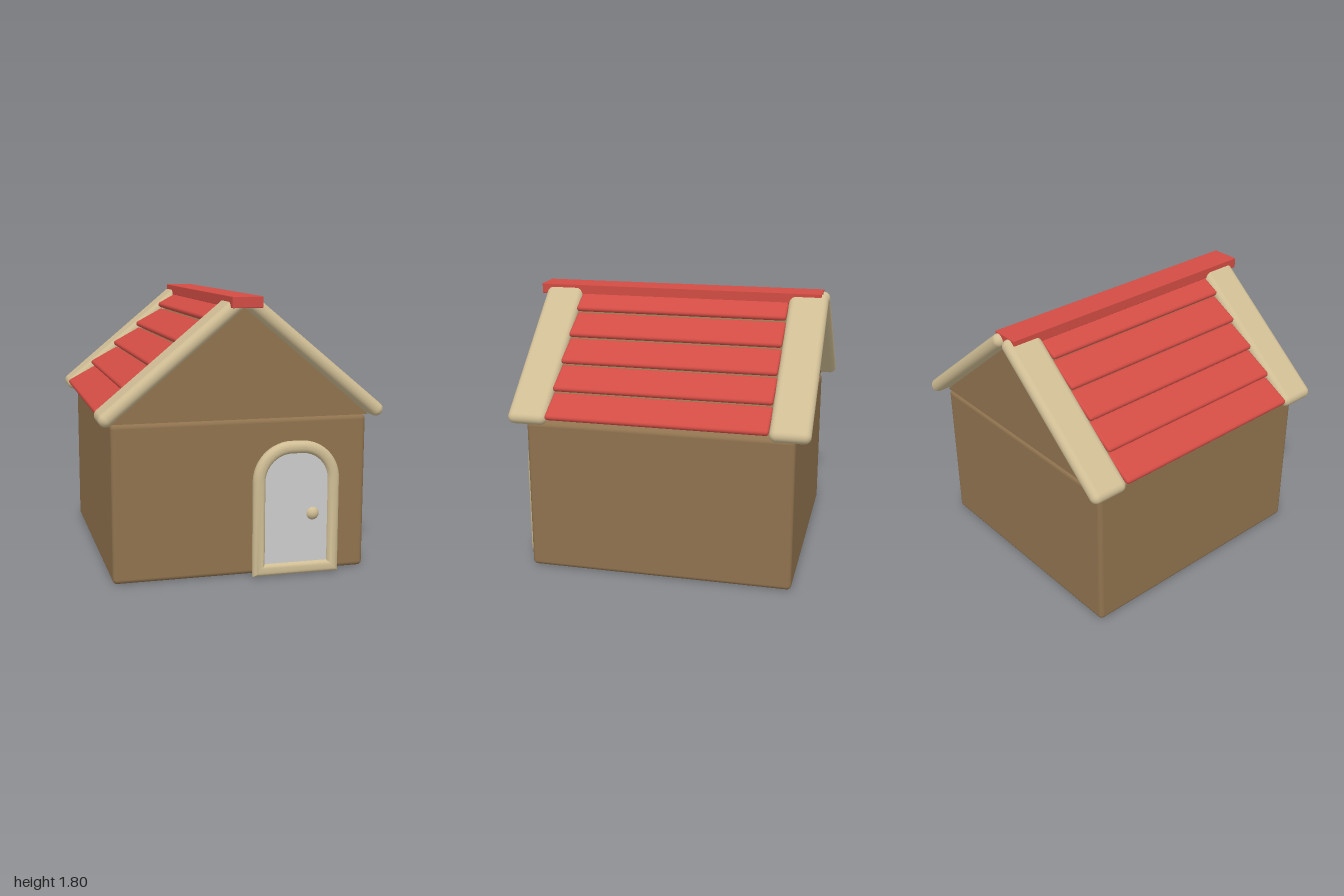
import * as THREE from 'three';
import { RoundedBoxGeometry } from 'three/addons/geometries/RoundedBoxGeometry.js';
import { toCreasedNormals } from 'three/addons/utils/BufferGeometryUtils.js';

const paint = (color) => new THREE.MeshStandardMaterial({ color });
const brown = paint(0x8f724e);
const tan = paint(0xcfbd94);
const red = paint(0xd14c44);
const grey = paint(0xcccccc);

// Outline with square foot corners and a rounded top
function archPath(PathType, cx, half, bottom, top, r) {
  const p = new PathType();
  p.moveTo(cx - half, bottom);
  p.lineTo(cx + half, bottom);
  p.lineTo(cx + half, top - r);
  p.absarc(cx + half - r, top - r, r, 0, Math.PI / 2, false);
  p.lineTo(cx - half + r, top);
  p.absarc(cx - half + r, top - r, r, Math.PI / 2, Math.PI, false);
  p.closePath();
  return p;
}

export function createModel() {
  const model = new THREE.Group();

  function add(name, geometry, material, x = 0, y = 0, z = 0, parent = model) {
    const mesh = new THREE.Mesh(geometry, material);
    mesh.name = name;
    mesh.position.set(x, y, z);
    parent.add(mesh);
    return mesh;
  }

  // Walls
  add('walls', new RoundedBoxGeometry(1.67, 1.02, 1.76, 4, 0.03), brown, 0, 0.52, -0.015);

  // Solid gable under the roof
  const triangle = new THREE.Shape();
  triangle.moveTo(-0.85, 1.03);
  triangle.lineTo(0.85, 1.03);
  triangle.lineTo(0, 1.745);
  triangle.closePath();
  add('gable', new THREE.ExtrudeGeometry(triangle, { depth: 1.74, bevelEnabled: false }),
    brown, 0, 0, -0.885);

  // Roof: edge boards and overlapping slats on both slopes
  const low = new THREE.Vector2(0.875, 1.075);
  const high = new THREE.Vector2(0.055, 1.755);
  const slope = Math.atan2(high.y - low.y, low.x - high.x);
  const boardLength = low.distanceTo(high) + 0.09;
  const slatTilt = THREE.MathUtils.degToRad(28);
  const slatRun = 0.195;
  const boardGeometry = new RoundedBoxGeometry(boardLength, 0.09, 0.26, 5, 0.044);
  const slatGeometry = new RoundedBoxGeometry(slatRun + 0.04, 0.04, 1.445, 4, 0.019);

  for (const side of [1, -1]) {
    const half = new THREE.Group();
    half.name = side > 0 ? 'leftRoof' : 'rightRoof';
    model.add(half);

    for (const [name, z] of [['frontEdgeBoard', 0.835], ['backEdgeBoard', -0.865]]) {
      const board = add(name, boardGeometry, tan,
        side * (low.x + high.x) / 2, (low.y + high.y) / 2, z, half);
      board.rotation.z = -side * slope;
    }

    for (let i = 0; i < 5; i++) {
      const x = 0.895 - 0.174 * i - Math.cos(slatTilt) * slatRun / 2;
      const y = 1.092 + 0.143 * i + Math.sin(slatTilt) * slatRun / 2;
      const slat = add('roofSlat' + (i + 1), slatGeometry, red, side * x, y, -0.0125, half);
      slat.rotation.z = -side * slatTilt;
    }
  }

  // Ridge cap
  add('ridgeCap', new RoundedBoxGeometry(0.195, 0.07, 1.95, 1, 0.004), red, -0.007, 1.773, 0.025);

  // Door with rounded frame and knob
  const door = new THREE.Group();
  door.name = 'door';
  model.add(door);
  const cx = 0.3425;

  const ring = archPath(THREE.Shape, cx, 0.2525, 0.05, 0.855, 0.22);
  ring.holes.push(archPath(THREE.Path, cx, 0.2425, 0.062, 0.845, 0.21));
  const frame = new THREE.ExtrudeGeometry(ring, {
    depth: 0.005, bevelThickness: 0.035, bevelSize: 0.035, bevelSegments: 6, curveSegments: 14,
  });
  add('doorFrame', toCreasedNormals(frame, 0.7), tan, 0, 0, 0.92, door);

  const panel = new THREE.ExtrudeGeometry(
    archPath(THREE.Shape, cx, 0.235, 0.07, 0.837, 0.2),
    { depth: 0.03, bevelEnabled: false, curveSegments: 14 });
  add('doorPanel', toCreasedNormals(panel, 0.7), grey, 0, 0, 0.905, door);

  add('doorKnob', new THREE.SphereGeometry(0.047, 24, 16), tan, 0.453, 0.412, 0.914, door);

  return model;
}
